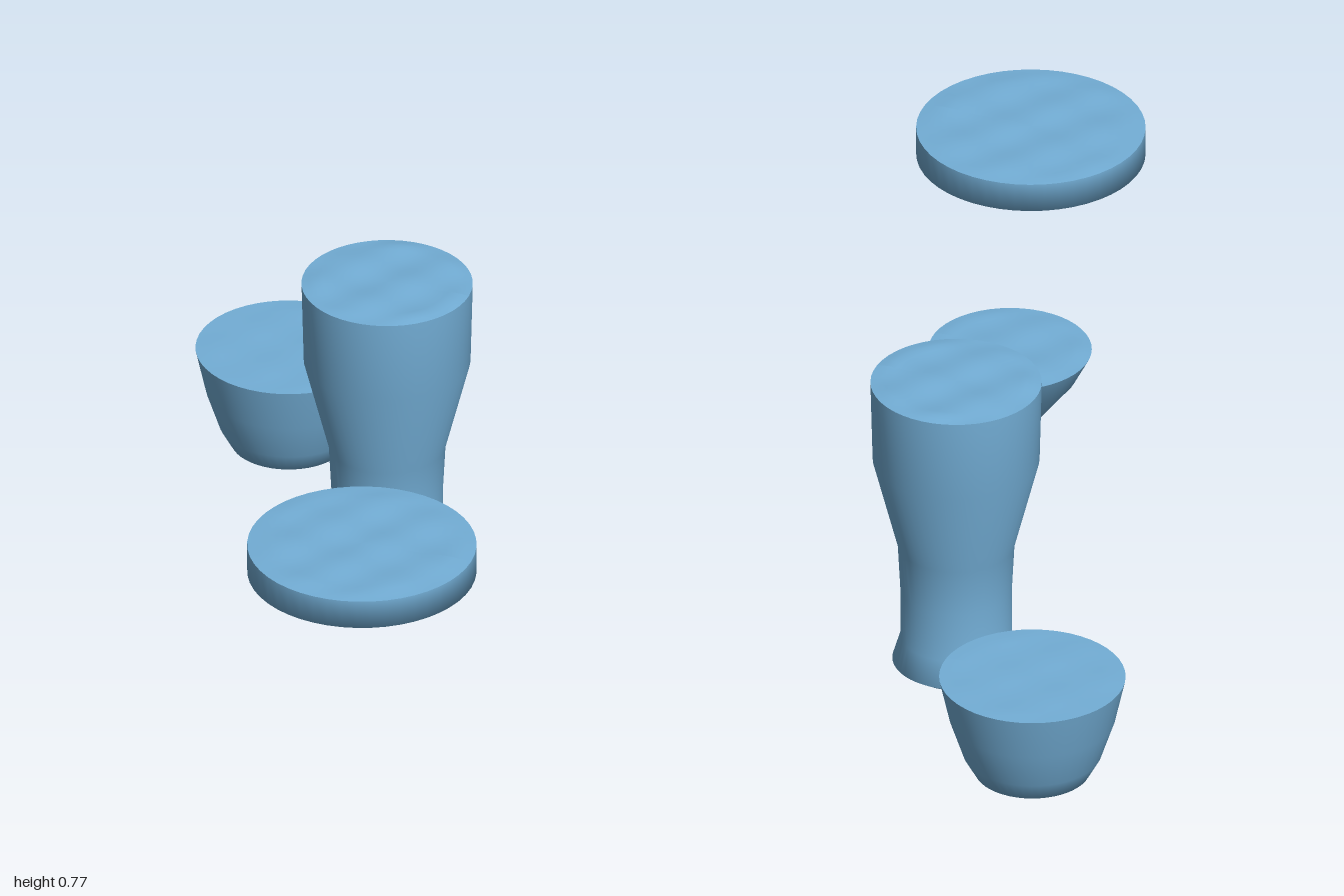
import * as THREE from 'three';

const SEGMENTS = 48;

// Rippled disc closing the top of a body of liquid, flat at the rim
function rippledSurface(radius, height, ripple) {
  const geometry = new THREE.RingGeometry(0, radius, SEGMENTS, 12);
  geometry.rotateX(-Math.PI / 2);
  const p = geometry.attributes.position;
  for (let i = 0; i < p.count; i++) {
    const x = p.getX(i), z = p.getZ(i);
    const fade = Math.min(1, 6 * (1 - Math.hypot(x, z) / radius));
    const wave = 0.5 + 0.3 * Math.sin(38 * x + 22 * z) + 0.2 * Math.sin(17 * x - 45 * z);
    p.setY(i, height + ripple * fade * wave);
  }
  geometry.computeVertexNormals();
  return geometry;
}

// Profiles are [radius, height] pairs from the bottom centre up to the rim
const LIQUIDS = [
  {
    name: 'tumblerLiquid', x: -0.355, z: -0.79, ripple: 0.002,
    profile: [[0, 0], [0.13, 0.063], [0.156, 0.11], [0.186, 0.2], [0.209, 0.304]],
  },
  {
    name: 'tallGlassLiquid', x: 0.007, z: -0.377, ripple: 0.007,
    profile: [[0, 0.026], [0.107, 0.026], [0.143, 0.05], [0.125, 0.11], [0.125, 0.23],
      [0.131, 0.345], [0.187, 0.565], [0.192, 0.763]],
  },
  {
    name: 'cocktailGlassLiquid', x: 0.139, z: 0.24, ripple: 0.005,
    profile: [[0, 0.267], [0.027, 0.267], [0.149, 0.423], [0.183, 0.488]],
  },
  {
    name: 'coupeLiquid', x: 0.302, z: 0.74, ripple: 0.006,
    profile: [[0, 0.61], [0.17, 0.645], [0.257, 0.69], [0.257, 0.758]],
  },
];

export function createModel() {
  const model = new THREE.Group();
  model.name = 'drinkLiquids';
  const material = new THREE.MeshStandardMaterial({ color: 0x73aed6 });

  for (const { name, x, z, ripple, profile } of LIQUIDS) {
    const liquid = new THREE.Group();
    liquid.name = name;
    liquid.position.set(x, 0, z);

    // Side and underside, shaped by the inside of the glass
    const body = new THREE.Mesh(
      new THREE.LatheGeometry(profile.map(([r, y]) => new THREE.Vector2(r, y)), SEGMENTS),
      material,
    );
    body.name = 'body';

    // Top surface
    const [rimRadius, rimHeight] = profile[profile.length - 1];
    const surface = new THREE.Mesh(rippledSurface(rimRadius, rimHeight, ripple), material);
    surface.name = 'surface';

    liquid.add(body, surface);
    model.add(liquid);
  }
  return model;
}
